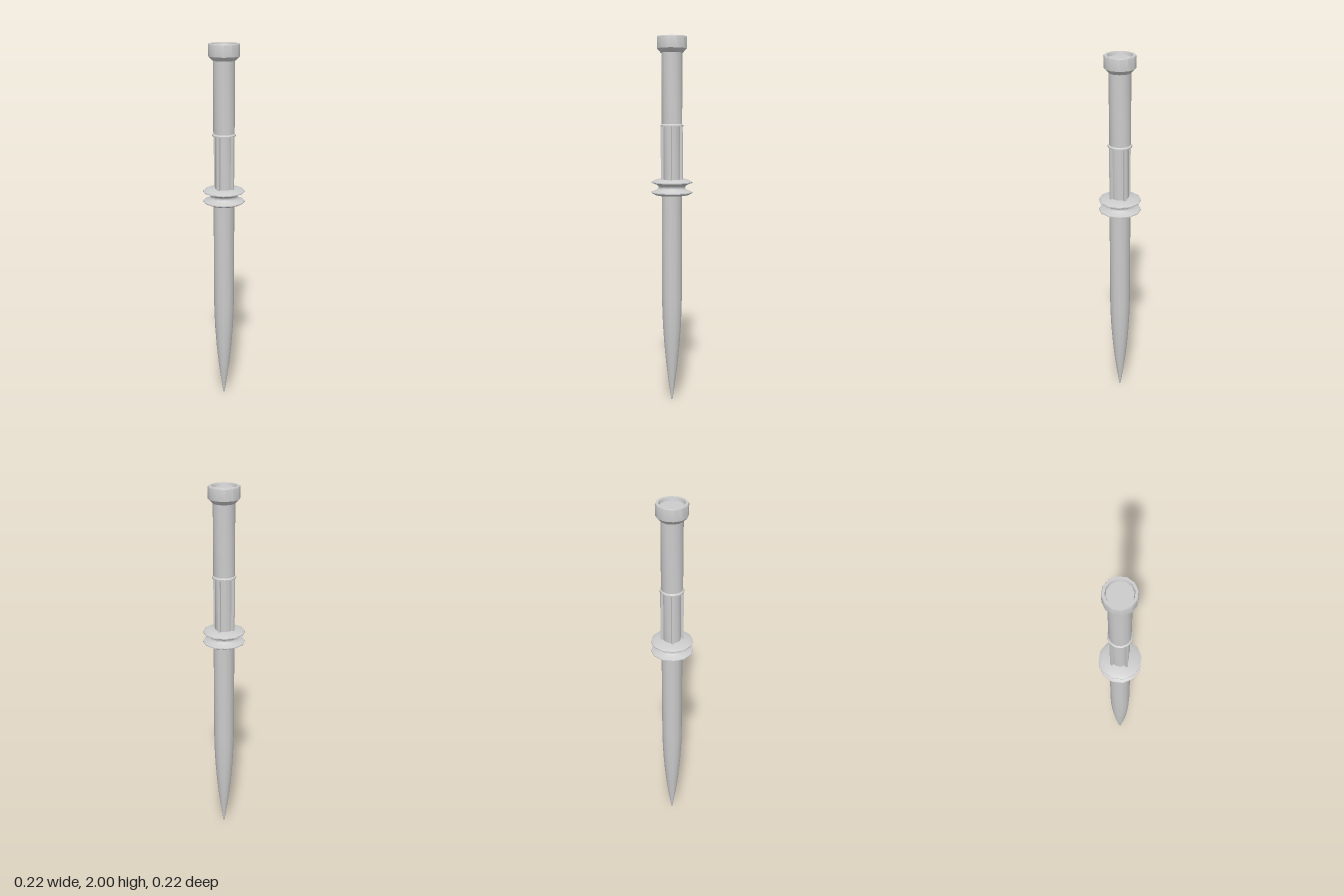
import * as THREE from 'three';
import { toCreasedNormals } from 'three/addons/utils/BufferGeometryUtils.js';

const SIDES = 12;

export function createModel() {
  const model = new THREE.Group();
  model.name = 'spike';
  const material = new THREE.MeshStandardMaterial({ color: 0xcccccc });

  // Turned part from [radius, height] pairs, listed from bottom to top
  function turned(name, profile) {
    const points = profile.map(([r, y]) => new THREE.Vector2(r, y));
    const geometry = toCreasedNormals(new THREE.LatheGeometry(points, SIDES), 0.6);
    const mesh = new THREE.Mesh(geometry, material);
    mesh.name = name;
    model.add(mesh);
  }

  // Long round blade, curving in to a sharp tip
  turned('blade', [
    [0, 0], [0.004, 0.003], [0.018, 0.1], [0.031, 0.2], [0.042, 0.31],
    [0.05, 0.42], [0.054, 0.51], [0.056, 0.6], [0.056, 1.175],
  ]);

  // Double-flanged guard with a rounded groove between the flanges
  turned('guard', [
    [0, 1.162], [0.088, 1.162], [0.112, 1.174], [0.112, 1.179],
    [0.086, 1.188], [0.075, 1.197], [0.073, 1.204], [0.075, 1.211],
    [0.086, 1.22], [0.112, 1.229], [0.112, 1.234], [0.088, 1.246], [0, 1.246],
  ]);

  // Slim core of the ribbed grip
  turned('gripCore', [[0.047, 1.24], [0.047, 1.54]]);

  // Four narrow ribs standing out from the core
  const ribs = new THREE.Group();
  ribs.name = 'gripRibs';
  for (let i = 0; i < 4; i++) {
    const angle = i * Math.PI / 2;
    const rib = new THREE.Mesh(new THREE.BoxGeometry(0.012, 0.29, 0.02), material);
    rib.name = 'gripRib';
    rib.position.set(Math.sin(angle) * 0.05, 1.39, Math.cos(angle) * 0.05);
    rib.rotation.y = angle;
    ribs.add(rib);
  }
  model.add(ribs);

  // Thin collar above the ribs
  turned('collar', [[0, 1.53], [0.063, 1.53], [0.063, 1.537], [0.056, 1.543], [0, 1.543]]);

  // Plain upper handle
  turned('handle', [[0.056, 1.535], [0.056, 1.93]]);

  // Flared pommel with a shallow recess in its top
  turned('pommel', [
    [0, 1.916], [0.06, 1.916], [0.08, 1.937], [0.081, 1.995], [0.0785, 2],
    [0.066, 2], [0.062, 1.984], [0, 1.984],
  ]);

  return model;
}
